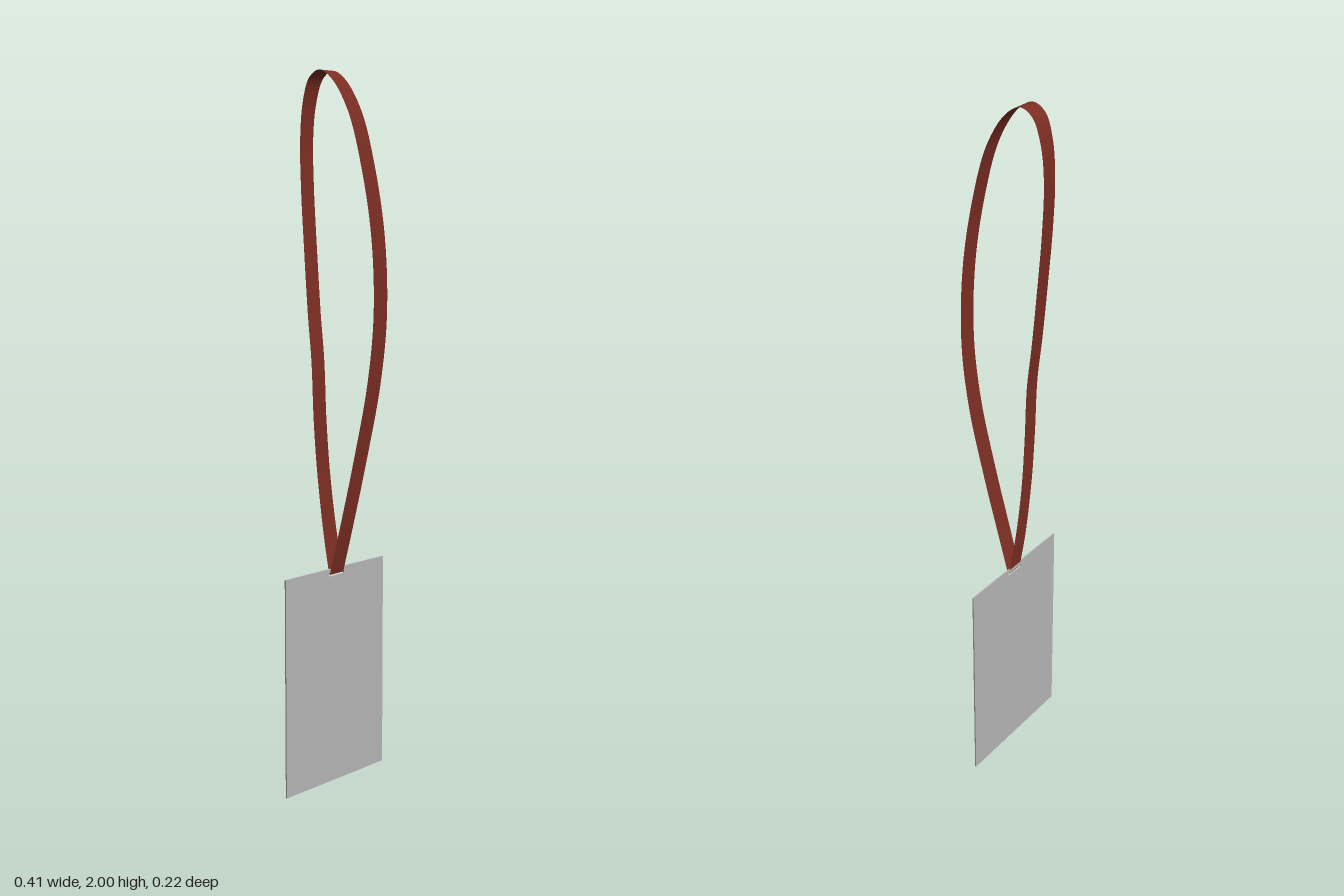
import * as THREE from 'three';

// Centre line of the strap: x, y, z, running up the front and down the back
const PATH = [
  [0.002, 0.608, -0.007], [0.007, 0.75, 0.028], [0.028, 0.94, 0.06], [0.047, 1.15, 0.092],
  [0.054, 1.34, 0.108], [0.045, 1.55, 0.107], [0.027, 1.74, 0.086], [0.012, 1.89, 0.05],
  [0.002, 1.975, 0.0], [-0.001, 2.0, -0.043], [-0.003, 1.98, -0.078], [-0.006, 1.915, -0.1],
  [-0.01, 1.82, -0.107], [-0.015, 1.69, -0.1], [-0.025, 1.5, -0.078], [-0.034, 1.34, -0.057],
  [-0.039, 1.21, -0.039], [-0.034, 1.05, -0.036], [-0.02, 0.9, -0.036], [-0.005, 0.73, -0.026],
  [0.002, 0.608, -0.009],
];

// Flat ribbon whose width lies along x, tilting slightly on the back run
function ribbon(curve, width, steps) {
  const pos = [], index = [];
  for (let i = 0; i <= steps; i++) {
    const t = i / steps;
    const p = curve.getPoint(t);
    const tilt = 0.002 * THREE.MathUtils.smoothstep(t, 0.5, 0.6) * (1 - THREE.MathUtils.smoothstep(t, 0.9, 1));
    pos.push(p.x - width / 2, p.y, p.z + tilt, p.x + width / 2, p.y, p.z - tilt);
    if (i < steps) {
      const a = i * 2;
      index.push(a, a + 1, a + 2, a + 1, a + 3, a + 2);
    }
  }
  const g = new THREE.BufferGeometry();
  g.setAttribute('position', new THREE.Float32BufferAttribute(pos, 3));
  g.setIndex(index);
  g.computeVertexNormals();
  return g;
}

function rectangle(path, x0, y0, x1, y1) {
  path.moveTo(x0, y0);
  path.lineTo(x1, y0);
  path.lineTo(x1, y1);
  path.lineTo(x0, y1);
  path.closePath();
  return path;
}

export function createModel() {
  const group = new THREE.Group();
  group.name = 'badgeOnStrap';

  const strapRed = new THREE.MeshStandardMaterial({ color: 0x7a2d22, side: THREE.DoubleSide });
  strapRed.name = 'strapRed';
  const cardGrey = new THREE.MeshStandardMaterial({ color: 0xb2b2b2 });
  cardGrey.name = 'cardGrey';

  // Looped strap
  const curve = new THREE.CatmullRomCurve3(PATH.map((p) => new THREE.Vector3(...p)));
  const strap = new THREE.Mesh(ribbon(curve, 0.056, 160), strapRed);
  strap.name = 'strap';
  group.add(strap);

  // Thin card with a slot for the strap
  const outline = rectangle(new THREE.Shape(), -0.203, 0, 0.203, 0.624);
  outline.holes.push(rectangle(new THREE.Path(), -0.03, 0.603, 0.034, 0.612));
  const cardGeometry = new THREE.ExtrudeGeometry(outline, { depth: 0.004, bevelEnabled: false });
  const card = new THREE.Mesh(cardGeometry, cardGrey);
  card.name = 'card';
  card.position.z = -0.011;
  group.add(card);

  return group;
}
